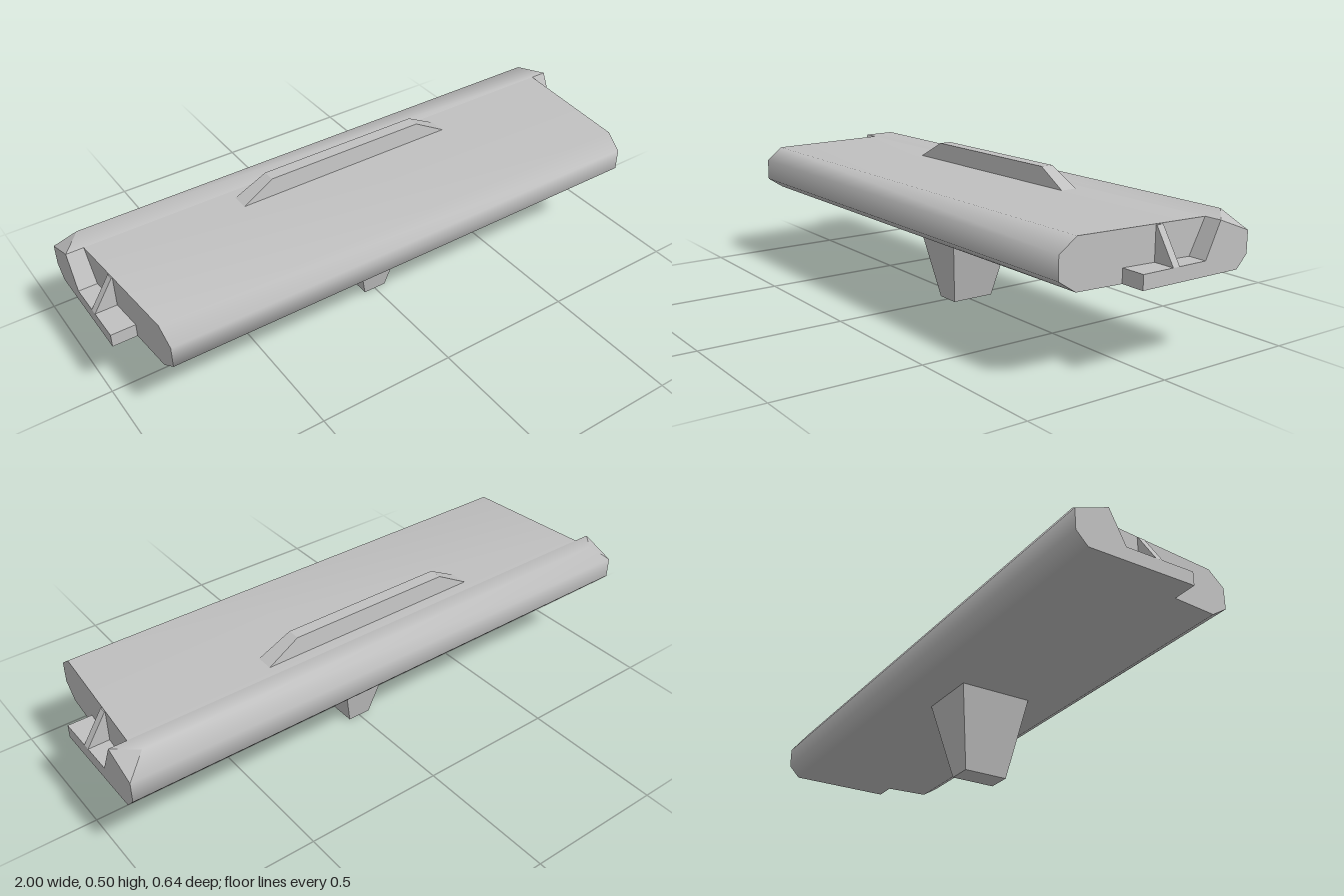
import * as THREE from 'three';
import { mergeGeometries } from 'three/addons/utils/BufferGeometryUtils.js';

const grey = new THREE.MeshStandardMaterial({ color: 0xc0c0c0 });
grey.name = 'plain grey';

function build(positions, index) {
  const g = new THREE.BufferGeometry();
  g.setAttribute('position', new THREE.Float32BufferAttribute(positions, 3));
  g.setIndex(index);
  g.computeVertexNormals();
  return g;
}

// Smooth strip across the width; each point is [z, y, halfWidth]
function skin(points) {
  const pos = [], index = [];
  points.forEach(([z, y, x], i) => {
    pos.push(x, y, z, -x, y, z);
    const a = 2 * i;
    if (i < points.length - 1) index.push(a, a + 1, a + 2, a + 1, a + 3, a + 2);
  });
  return build(pos, index);
}

// Mirrored flat end caps for the same kind of outline
function caps(points) {
  const flat = points.map(([z, y]) => new THREE.Vector2(z, y));
  const tris = THREE.ShapeUtils.triangulateShape(flat, []);
  return mergeGeometries([1, -1].map(side => {
    const index = [];
    for (const [a, b, c] of tris) {
      const turn = flat[b].clone().sub(flat[a]).cross(flat[c].clone().sub(flat[a]));
      if (turn * side < 0) index.push(a, b, c);
      else index.push(a, c, b);
    }
    return build(points.flatMap(([z, y, x]) => [side * x, y, z]), index);
  }));
}

// Straight-sided block; each level is [y, halfWidth, zFront, zBack]
function taper(low, high) {
  const g = new THREE.BoxGeometry(1, 1, 1);
  const p = g.attributes.position;
  for (let i = 0; i < p.count; i++) {
    const [y, x, front, back] = p.getY(i) > 0 ? high : low;
    p.setXYZ(i, Math.sign(p.getX(i)) * x, y, p.getZ(i) > 0 ? front : back);
  }
  g.computeVertexNormals();
  return g;
}

export function createModel() {
  const model = new THREE.Group();
  model.name = 'finnedPanel';
  const add = (name, geometry) => {
    const mesh = new THREE.Mesh(geometry, grey);
    mesh.name = name;
    model.add(mesh);
  };

  // Main panel, its ends widening towards the back
  const endX = z => 0.94 - (z + 0.2) * 0.04 / 0.52;
  const panel = [
    [-0.2, 0.443], [0.26, 0.443], [0.32, 0.397], [0.32, 0.322], [0.26, 0.283], [0.1, 0.283],
    [0.1, 0.33], [-0.145, 0.33],
  ].map(([z, y]) => [z, y, endX(z)]);
  add('panelSkin', skin(panel.slice(0, 6)));
  add('panelEnds', caps(panel));

  // Full-width rear rail with a low shelf reaching forward
  const rail = [
    [-0.2, 0.443, 1], [-0.145, 0.33, 1], [0.1, 0.33, 1], [0.1, 0.283, 1],
    [-0.28, 0.283, 1], [-0.32, 0.325, 1], [-0.32, 0.397, 1],
  ];
  const ridge = [-0.275, 0.456, 0.93];
  add('railSkin', skin([...rail.slice(3), ridge, rail[0]]));
  add('railEnds', caps(rail));
  add('ridgeEnds', caps([rail[6], ridge, rail[0]]));
  for (let i = 0; i < 3; i++) add('shelfFace', skin(rail.slice(i, i + 2)));

  // Triangular ribs bracing the shelf against the panel ends
  const ribShape = new THREE.Shape([
    new THREE.Vector2(0.9, 0.33), new THREE.Vector2(1, 0.33),
    new THREE.Vector2(0.93, 0.44), new THREE.Vector2(0.9, 0.44),
  ]);
  const rib = new THREE.ExtrudeGeometry(ribShape, { depth: 0.025, bevelEnabled: false });
  rib.translate(0, 0, -0.04);
  add('leftRib', rib);
  add('rightRib', rib.clone().rotateY(Math.PI).translate(0, 0, -0.055));

  // Raised top fin and tapered lower stem
  add('topFin', taper([0.44, 0.42, -0.1, -0.161], [0.505, 0.3, -0.108, -0.153]));
  add('stem', taper([0, 0.043, 0.066, -0.094], [0.285, 0.112, 0.119, -0.147]));

  return model;
}
